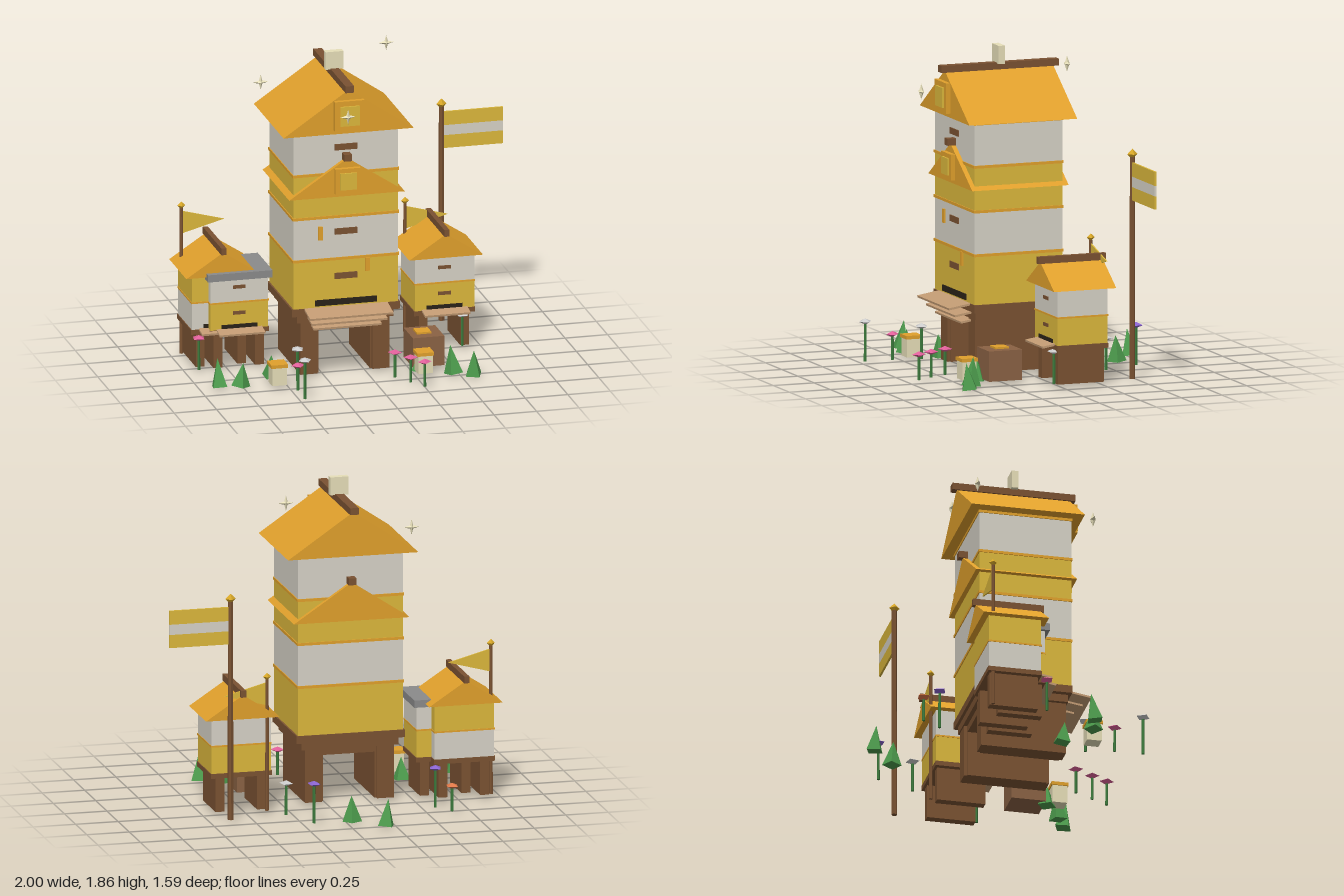
import * as THREE from 'three';

const mats = {};
const mat = (c) => (mats[c] ??= new THREE.MeshStandardMaterial({ color: c, flatShading: true }));
const C = {
  roof: 0xe0a02c, yellow: 0xdbb73c, white: 0xd6d2c6, brown: 0x7a5232, tan: 0xc49c74, crate: 0x8a6244,
  dark: 0x2a2218, gray: 0x8a8a8a, cream: 0xe6deb8, green: 0x4c9a4c, stem: 0x3c7a3c,
  pink: 0xe0609a, purple: 0x8a64d0, orange: 0xe07848, gold: 0xd8a828, petal: 0xdedede,
};

function add(parent, name, geo, color, x = 0, y = 0, z = 0) {
  const m = new THREE.Mesh(geo, mat(color));
  m.name = name;
  m.position.set(x, y, z);
  parent.add(m);
  return m;
}

// Box given by its limits on each axis
const box = (p, name, color, [x0, x1], [y0, y1], [z0, z1]) =>
  add(p, name, new THREE.BoxGeometry(x1 - x0, y1 - y0, z1 - z0), color, (x0 + x1) / 2, (y0 + y1) / 2, (z0 + z1) / 2);
const span = (c, half) => [c - half, c + half];

function group(parent, name, x = 0, y = 0, z = 0) {
  const g = new THREE.Group();
  g.name = name;
  g.position.set(x, y, z);
  parent.add(g);
  return g;
}

// Flat polygon with a thickness along z, centred on z
function plate(p, name, color, pts, depth, z = 0) {
  const geo = new THREE.ExtrudeGeometry(new THREE.Shape(pts.map((q) => new THREE.Vector2(...q))), { depth, bevelEnabled: false });
  return add(p, name, geo, color, 0, 0, z - depth / 2);
}

// Gable roof with a ridge beam
function gableRoof(p, half, y0, y1, depth, beam) {
  plate(p, 'gableRoof', C.roof, [[-half, y0], [half, y0], [0, y1]], depth);
  box(p, 'ridgeBeam', C.brown, span(0, beam / 2), [y1 - 0.01, y1 + 0.03], span(0, depth / 2 + beam * 0.58));
}

// Landing board sloping down to the front
function landing(p, name, half, zBack, zFront, yBack, yFront) {
  const len = Math.hypot(zFront - zBack, yBack - yFront);
  const m = add(p, name, new THREE.BoxGeometry(half * 2, 0.012, len), C.tan, 0, (yBack + yFront) / 2, (zBack + zFront) / 2);
  m.rotation.x = Math.atan2(yBack - yFront, zFront - zBack);
}

function gableWindow(p, y, half, z) {
  box(p, 'windowFrame', C.roof, span(0, half), span(y, half), [z - 0.01, z + 0.027]);
  box(p, 'windowPane', C.yellow, span(0, half * 0.64), span(y, half * 0.66), [z, z + 0.037]);
}

function tower(root) {
  const g = group(root, 'towerHive', -0.13, 0, 0.07);
  // Stacked boxes with trim and handles
  [[0.42, 0.705, C.yellow], [0.705, 0.957, C.white], [0.957, 1.215, C.yellow], [1.215, 1.47, C.white]].forEach(([y0, y1, c]) => {
    box(g, 'hiveBox', c, span(0, 0.308), [y0, y1], span(0, 0.268));
    if (y0 > 0.5) box(g, 'trim', C.roof, span(0, 0.313), span(y0, 0.008), span(0, 0.273));
  });
  box(g, 'trim', C.roof, span(0, 0.313), [1.455, 1.47], span(0, 0.273));
  for (const y of [0.602, 0.868, 1.372]) box(g, 'handle', C.brown, span(0, 0.066), span(y, 0.018), [0.26, 0.274]);
  box(g, 'sideVent', C.roof, span(-0.152, 0.013), span(0.865, 0.04), [0.26, 0.28]);
  box(g, 'sideVent', C.roof, span(0.125, 0.013), span(0.66, 0.04), [0.26, 0.28]);
  box(g, 'entrance', C.dark, span(0, 0.182), [0.43, 0.465], [0.26, 0.274]);
  // Roofs, windows and chimney
  gableRoof(g, 0.383, 1.47, 1.73, 0.66, 0.05);
  gableRoof(g, 0.34, 1.083, 1.308, 0.59, 0.045);
  gableWindow(g, 1.582, 0.088, 0.33);
  gableWindow(g, 1.18, 0.075, 0.295);
  box(g, 'chimney', C.cream, span(0, 0.053), [1.755, 1.86], span(0, 0.02));
  // Stand
  box(g, 'basePlate', C.brown, span(0, 0.318), [0.375, 0.42], span(0, 0.272));
  box(g, 'standBeam', C.brown, span(0, 0.285), [0.33, 0.375], span(0, 0.255));
  box(g, 'standCore', C.brown, span(0, 0.2), [0.29, 0.33], span(0, 0.23));
  for (const s of [-1, 1]) {
    box(g, 'standLeg', C.brown, span(s * 0.212, 0.05), [0.02, 0.33], span(0, 0.248));
    box(g, 'innerLeg', C.brown, span(s * 0.165, 0.013), [0.02, 0.33], span(0, 0.23));
  }
  // Landing boards
  landing(g, 'landingBoard', 0.245, 0.24, 0.4, 0.42, 0.394);
  landing(g, 'lowerBoard', 0.223, 0.2, 0.355, 0.372, 0.348);
  landing(g, 'lowestBoard', 0.2, 0.16, 0.31, 0.328, 0.305);
}

function smallHive(root, name, x, z, lower, upper, half, depth, flat) {
  const g = group(root, name, x, 0, z);
  const top = flat ? 0.55 : 0.57;
  box(g, 'lowerBox', lower, span(0, half), [0.245, 0.41], span(0, depth));
  box(g, 'upperBox', upper, span(0, half), [0.41, top], span(0, depth));
  box(g, 'trim', C.roof, span(0, half + 0.003), span(0.408, 0.005), span(0, depth + 0.003));
  for (const y of [0.345, 0.5]) box(g, 'handle', C.brown, span(0, 0.037), span(y, 0.01), [depth - 0.01, depth + 0.005]);
  box(g, 'entrance', C.dark, span(0, 0.105), [0.255, 0.277], [depth - 0.01, depth + 0.006]);
  if (flat) box(g, 'flatLid', C.gray, span(0, half + 0.02), [0.547, 0.59], span(0, depth + 0.025));
  else gableRoof(g, 0.217, 0.567, 0.708, 0.38, 0.03);
  // Stand and landing board
  box(g, 'basePlate', C.brown, span(0, half + 0.005), [0.22, 0.248], span(0, depth + 0.003));
  for (const s of [-1, 1]) box(g, 'standLeg', C.brown, span(s * 0.122, 0.026), [0.02, 0.22], span(0, depth - 0.012));
  landing(g, 'landingBoard', 0.134, depth - 0.01, depth + 0.075, 0.25, 0.236);
}

function flagpole(root, x, z, top, r) {
  const g = group(root, 'flagpole', x, 0, z);
  add(g, 'pole', new THREE.CylinderGeometry(r * 0.9, r, top - 0.02, 6), C.brown, 0, (top + 0.02) / 2, 0);
  add(g, 'finial', new THREE.OctahedronGeometry(r * 1.3 + 0.009), C.gold, 0, top + 0.015, 0);
  return g;
}

function pennant(root, x, z, top) {
  const g = flagpole(root, x, z, top, 0.011);
  plate(g, 'pennant', C.yellow, [[0.01, top - 0.15], [0.25, top - 0.085], [0.01, top - 0.02]], 0.008);
}

// Four-pointed sparkle: a flattened bipyramid with every other rim point pulled in
function sparkle(root, x, y, z) {
  const geo = new THREE.SphereGeometry(0.046, 8, 2).rotateX(Math.PI / 2);
  const p = geo.attributes.position;
  for (let i = 0; i < p.count; i++) {
    const diagonal = Math.abs(p.getX(i) * p.getY(i)) > 1e-4;
    const k = diagonal ? 0.3 : 1;
    p.setXYZ(i, p.getX(i) * k, p.getY(i) * k, p.getZ(i) * 0.35);
  }
  add(root, 'sparkle', geo, C.cream, x, y, z);
}

function flower(root, x, z, y, color, i) {
  const g = group(root, 'flower', x, 0, z);
  add(g, 'stem', new THREE.CylinderGeometry(0.008, 0.009, y - 0.02, 5), C.stem, 0, (y + 0.02) / 2, 0);
  const head = add(g, 'flowerHead', new THREE.OctahedronGeometry(0.042), color, 0, y, 0);
  head.scale.y = 0.42;
  head.rotation.y = 0.5 + i * 0.17;
}

function jar(root, x, z) {
  const g = group(root, 'honeyJar', x, 0, z);
  box(g, 'jarBody', C.cream, span(0, 0.043), [0.02, 0.128], span(0, 0.043));
  box(g, 'jarLid', C.roof, span(0, 0.049), [0.125, 0.145], span(0, 0.049));
}

export function createModel() {
  const root = new THREE.Group();
  root.name = 'apiary';

  tower(root);
  smallHive(root, 'rightHive', 0.53, -0.113, C.yellow, C.white, 0.175, 0.153, false);
  smallHive(root, 'leftHive', -0.782, -0.113, C.white, C.yellow, 0.175, 0.153, false);
  smallHive(root, 'flatHive', -0.69, -0.055, C.yellow, C.white, 0.17, 0.14, true);

  // Flags
  const tall = flagpole(root, 0.64, -0.443, 1.3, 0.017);
  [[1.05, 1.127, C.yellow], [1.127, 1.187, C.white], [1.187, 1.268, C.yellow]].forEach(([y0, y1, c]) =>
    box(tall, 'flagStripe', c, [0.013, 0.36], [y0, y1], span(0, 0.006)));
  pennant(root, 0.385, -0.29, 0.79);
  pennant(root, -0.945, -0.238, 0.89);

  // Crate and jars
  box(root, 'crate', C.crate, [0.26, 0.445], [0.02, 0.195], [0.153, 0.355]);
  box(root, 'crateLabel', C.roof, [0.3, 0.385], [0.19, 0.206], [0.21, 0.293]);
  jar(root, -0.557, 0.435);
  jar(root, 0.302, 0.435);

  // Grass tufts
  [[-0.2, -0.75, 0.155], [-0.03, -0.61, 0.15], [-0.885, 0.36, 0.165], [-0.755, 0.39, 0.135], [-0.55, 0.265, 0.13],
    [0.3, 0.37, 0.12], [0.46, 0.465, 0.165], [0.57, 0.535, 0.15]].forEach(([x, z, h], i) => {
    const tuft = add(root, 'grassTuft', new THREE.ConeGeometry(0.056, h, 4), C.green, x, h / 2 + 0.008, z);
    tuft.rotation.set(0.12 * Math.sin(i * 2), 0.4 + i * 0.9, 0.12 * Math.cos(i * 2));
  });

  // Flowers
  [[-0.56, -0.46, 0.25, C.purple], [-0.63, -0.57, 0.168, C.orange], [0.2, -0.64, 0.25, C.purple],
    [0.305, -0.415, 0.205, C.petal], [0.117, 0.495, 0.168, C.pink], [0.18, 0.605, 0.168, C.pink],
    [0.237, 0.703, 0.168, C.pink], [-0.477, 0.582, 0.168, C.pink], [-0.48, 0.747, 0.25, C.petal],
    [-0.437, 0.42, 0.21, C.petal], [-0.927, 0.08, 0.21, C.pink], [0.635, 0.035, 0.205, C.petal],
  ].forEach(([x, z, y, c], i) => flower(root, x, z, y, c, i));

  // Sparkles
  sparkle(root, -0.483, 1.61, -0.22);
  sparkle(root, 0.25, 1.792, -0.198);
  sparkle(root, -0.167, 1.61, 0.528);
  return root;
}
